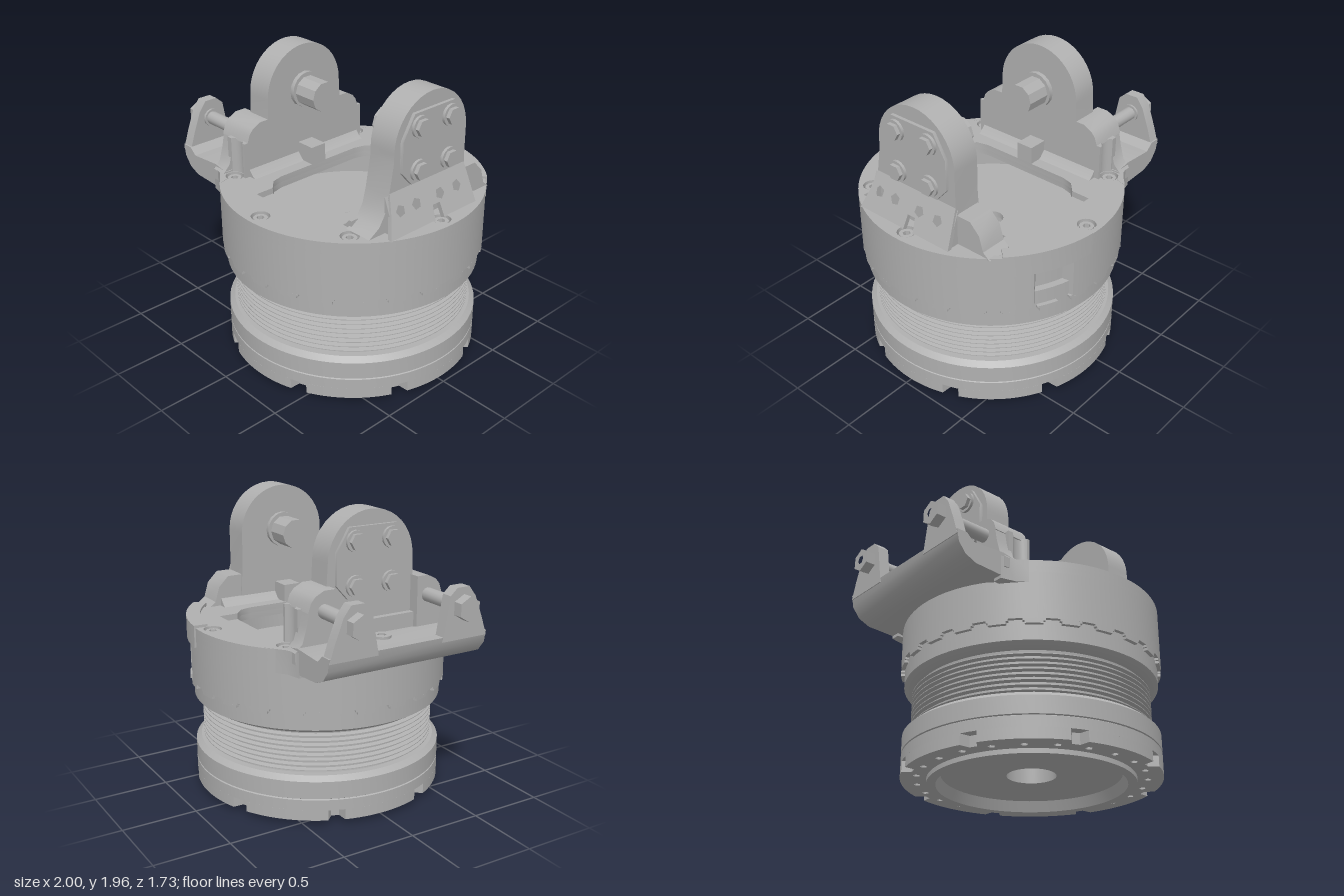
import * as THREE from 'three';
import { toCreasedNormals } from 'three/addons/utils/BufferGeometryUtils.js';

const steel = new THREE.MeshStandardMaterial({ color: 0xb0b0b0 });
steel.name = 'steel grey';

const CX = 0.14; // axis of the round body
const V = (a) => a.map(([x, y]) => new THREE.Vector2(x, y));

function add(parent, name, geo, x = 0, y = 0, z = 0) {
  const m = new THREE.Mesh(toCreasedNormals(geo, 0.6), steel);
  m.name = name;
  m.position.set(x, y, z);
  parent.add(m);
  return m;
}

// Regular polygon outline, radius may depend on the angle
function ngon(n, r, cx = 0, cy = 0, turn = 0) {
  const pts = [];
  for (let i = 0; i < n; i++) {
    const a = turn + (i / n) * Math.PI * 2;
    const q = typeof r === 'function' ? r(a) : r;
    pts.push([cx + q * Math.cos(a), cy + q * Math.sin(a)]);
  }
  return pts;
}

function outline(pts, holes = []) {
  const s = new THREE.Shape(V(pts));
  holes.forEach((h) => s.holes.push(new THREE.Path(V(h))));
  return s;
}

const extrude = (shape, depth) => new THREE.ExtrudeGeometry(shape, { depth, bevelEnabled: false });

// Plan outline [x, -z] raised from y0 to y1
const plan = (pts, y0, y1, holes) =>
  extrude(outline(pts, holes), y1 - y0).rotateX(-Math.PI / 2).translate(0, y0, 0);

// Side outline [z, y] swept from x0 to x1
const flip = (pts) => pts.map(([z, y]) => [-z, y]);
const side = (pts, x0, x1, holes = []) =>
  extrude(outline(flip(pts), holes.map(flip)), x1 - x0).rotateY(Math.PI / 2).translate(x0, 0, 0);

// Front outline [x, y] swept from z0 to z1
const front = (pts, z0, z1) => extrude(outline(pts), z1 - z0).translate(0, 0, z0);

// Cylinder along x
const rod = (r, x0, x1, n) =>
  new THREE.CylinderGeometry(r, r, x1 - x0, n).rotateZ(Math.PI / 2).translate((x0 + x1) / 2, 0, 0);

// Points on an arc, angles in radians
const arc = (r, a0, a1, n, cx = 0, cy = 0) => Array.from({ length: n + 1 }, (_, i) => {
  const a = a0 + ((a1 - a0) * i) / n;
  return [cx + r * Math.cos(a), cy + r * Math.sin(a)];
});
const sector = (r0, r1, a0, a1, n) => [...arc(r1, a0, a1, n), ...arc(r0, a1, a0, n)];

function buildBody(group) {
  const body = new THREE.Group();
  body.name = 'body';
  body.position.x = CX;
  group.add(body);

  // Base, finned bellows, upper ring and inner floor in one turned profile
  const profile = [[0.075, 0.88], [0.075, 0.84], [0.16, 0.84], [0.16, 0.08], [0.58, 0.08], [0.61, 0.01],
    [0.67, 0.01], [0.67, 0.11], [0.835, 0.11], [0.835, 0.18], [0.826, 0.185], [0.835, 0.19],
    [0.835, 0.305], [0.8, 0.335], [0.755, 0.335]];
  for (let i = 0; i < 8; i++) {
    const y = 0.35 + i * 0.033;
    profile.push([0.752, y], [0.782, y + 0.006], [0.782, y + 0.011], [0.752, y + 0.018]);
  }
  profile.push([0.755, 0.62], [0.79, 0.622], [0.835, 0.65], [0.835, 0.88], [0.075, 0.88]);
  add(body, 'turnedBody', new THREE.LatheGeometry(V(profile), 80));

  // Notched foot ring with bolt holes
  const notch = (a) => {
    const d = Math.abs(((a / (Math.PI / 4)) % 1) - 0.5);
    return d < 0.07 ? 0.77 : 0.835;
  };
  const drill = [ngon(72, 0.67), ...ngon(24, 0.735).map(([x, y]) => ngon(5, 0.024, x, y))];
  add(body, 'footRing', plan(ngon(192, notch), 0.04, 0.111, drill));

  // Collar wall with a pocket at the back and teeth along its lower edge
  const rim = ngon(160, (a) => (a > 1.03 && a < 1.3 ? 0.79 : 0.86));
  add(body, 'collarWall', plan(rim, 0.78, 1.09, [ngon(72, 0.7)]));
  for (let i = 0; i < 24; i++) {
    const a = (i / 24) * Math.PI * 2;
    add(body, 'collarTooth', plan(sector(0.83, 0.86, a, a + 0.16, 4), 0.765, 0.781));
    add(body, 'collarToothTip', plan(sector(0.83, 0.86, a + 0.015, a + 0.145, 4), 0.748, 0.766));
  }

  // Thin collar deck: chamfered opening, shallow end pockets, sunk screws
  const half = [[0.33, -0.33], [0.33, 0.33], [0.31, 0.41], [0.24, 0.475]];
  const tail = [[-0.24, 0.475], [-0.31, 0.41]];
  const turnHalf = (pts) => [...pts, ...pts.map(([x, y]) => [-x, -y])];
  const opening = turnHalf([...half, ...tail]);
  const stepped = turnHalf([...half, [0.24, 0.605], [-0.24, 0.605], ...tail]);
  add(body, 'deckLower', plan(rim, 1.09, 1.13, [opening]));
  const screws = ngon(8, 0.77);
  add(body, 'deckUpper', plan(rim, 1.13, 1.17, [stepped, ...screws.map(([x, y]) => ngon(16, 0.06, x, y))]));
  for (const [x, y] of screws) {
    add(body, 'deckScrew', plan(ngon(12, 0.046, x, y), 1.12, 1.16, [ngon(6, 0.025, x, y)]));
  }

  // Curved guard plate over the pocket
  add(body, 'guardPlate', plan(sector(0.78, 0.872, 0.8, 1.49, 12), 1.04, 1.187));
}

// Hex bolt with washer and socket, pointing along +x
function hexBolt(parent, x, y, z, dir) {
  const g = new THREE.Group();
  g.name = 'coverBolt';
  add(g, 'washer', rod(0.068, 0, 0.02, 16));
  add(g, 'boltHead', side(ngon(6, 0.054), 0.02, 0.045, [ngon(6, 0.028)]));
  g.position.set(x, y, z);
  if (dir < 0) g.rotation.y = Math.PI;
  parent.add(g);
}

function buildYoke(group, dir, name, x0, x1, foot) {
  const yoke = new THREE.Group();
  yoke.name = name;
  group.add(yoke);
  add(yoke, 'yokeArm', side([...foot, ...arc(0.31, Math.PI, 0, 20, 0, 1.655)], x0, x1));
  const outer = dir > 0 ? x1 : x0, inner = dir > 0 ? x0 : x1;
  const span = (a, b) => [Math.min(a, b), Math.max(a, b)];

  // Cover plate with small holes and four bolts
  const plate = [[0.18, 1.43], [0.26, 1.52], [0.26, 1.72], [0.17, 1.87], [-0.17, 1.87], [-0.26, 1.72],
    [-0.26, 1.52], [-0.18, 1.43]];
  const holes = [-0.19, 0, 0.19].map((z) => ngon(3, 0.026, z, 1.65));
  add(yoke, 'coverPlate', side(plate, ...span(outer, outer + dir * 0.022), holes));
  for (const z of [-0.13, 0.13]) for (const y of [1.51, 1.785]) hexBolt(yoke, outer + dir * 0.02, y, z, dir);

  // Pivot pin, its flange and the stop block below
  add(yoke, 'pinFlange', rod(0.12, ...span(inner, inner - dir * 0.03), 16), 0, 1.66, 0);
  add(yoke, 'pivotPin', rod(0.1, ...span(inner, inner - dir * 0.2), 10), 0, 1.655, 0);
  const [s0, s1] = span(inner + dir * 0.02, inner - dir * 0.135);
  add(yoke, 'stopBlock', new THREE.BoxGeometry(s1 - s0, 0.13, 0.12), (s0 + s1) / 2, 1.225, 0);

  // Low fillet along the inner foot
  const f = [[inner + dir * 0.02, 1.16], [inner - dir * 0.07, 1.16], [inner - dir * 0.035, 1.18], [inner, 1.22],
    [inner + dir * 0.02, 1.22]];
  add(yoke, 'footFillet', front(f, -0.48, 0.48));
  return yoke;
}

function buildRightSide(group) {
  const yoke = buildYoke(group, 1, 'leftYoke', 0.61, 0.8,
    [[0.31, 1.6], [0.345, 1.4], [0.37, 1.3], [0.42, 1.22], [0.5, 1.17], [0.5, 1.15], [-0.33, 1.15], [-0.31, 1.45]]);
  // Sloped outer flange, hollow behind, with a row of holes and a screw slot
  const holes = [-0.2, -0.05, 0.155, 0.29].map((z) => ngon(5, 0.038, z, 0.15, z * 9));
  const skin = [[0.42, 0], [0.37, 0.14], [0.34, 0.27], [-0.31, 0.27], [-0.33, 0], [-0.04, 0], [-0.03, 0.1],
    [0.03, 0.1], [0.04, 0]];
  const flange = add(yoke, 'flangeSkin', side(skin, -0.03, 0, holes), 0.9, 1.165, 0);
  flange.rotation.z = 0.38;
  const end = [[0.79, 1.16], [0.885, 1.16], [0.79, 1.4]];
  add(yoke, 'flangeEnd', front(end, -0.32, -0.28));
  add(yoke, 'flangeEnd', front(end, 0.33, 0.37));
  // Rear shoulder block
  add(group, 'rearShoulder', side([[-0.3, 1.16], [-0.57, 1.16], [-0.52, 1.2], [-0.49, 1.3], [-0.42, 1.37],
    [-0.3, 1.37]], 0.62, 0.8));
}

function buildLeftSide(group) {
  buildYoke(group, -1, 'rightYoke', -0.505, -0.325,
    [[0.31, 1.6], [0.33, 1.3], [0.36, 1.15], [-0.36, 1.15], [-0.33, 1.3]]);

  // Cantilever bracket
  const bracket = new THREE.Group();
  bracket.name = 'sideBracket';
  group.add(bracket);
  add(bracket, 'bracketFloor', front([[-0.47, 1.01], [-0.47, 1.18], [-0.58, 1.2], [-0.81, 1.185],
    [-0.86, 1.23], [-0.935, 1.23], [-0.92, 1.15], [-0.87, 1.085], [-0.79, 1.05], [-0.6, 1.04]], -0.565, 0.565));
  add(bracket, 'floorScrew', plan(ngon(16, 0.06, -0.63, 0), 1.17, 1.21, [ngon(6, 0.03, -0.63, 0)]));

  for (const s of [-1, 1]) {
    const m = (pts) => pts.map(([z, y]) => [z * s, y]);
    add(bracket, 'bracketUpright', side(m([[0.23, 1.2], [0.565, 1.2], [0.525, 1.32], [0.47, 1.46], [0.42, 1.525],
      [0.33, 1.525], [0.28, 1.48]]), -0.935, -0.86));
    // Clamp bolt: rod, nut and head
    const z = s * 0.38;
    add(bracket, 'clampRod', rod(0.045, -0.95, -0.55, 12), 0, 1.4, z);
    add(bracket, 'clampCollar', rod(0.06, -0.87, -0.845, 12), 0, 1.4, z);
    add(bracket, 'clampHead', side(ngon(6, 0.08, 0, 1.4, 0.5), -1, -0.935, [ngon(6, 0.03, 0, 1.4)]), 0, 0, z);
    // Boss receiving the rod: sloped wing, rounded crown, and a body scooped out around the deck screw
    add(bracket, 'bossWing', side(m([[0.3, 1.1], [0.58, 1.1], [0.58, 1.17], [0.53, 1.22], [0.5, 1.32], [0.48, 1.42],
      [0.3, 1.42]]), -0.58, -0.475));
    add(bracket, 'bossCrown', side(m([[0.3, 1.4], [0.49, 1.4], [0.47, 1.46], [0.44, 1.495], [0.38, 1.525],
      [0.3, 1.525]]), -0.58, -0.325));
    const scoop = arc(0.065, Math.PI * 1.15, Math.PI * 1.85, 10, -0.404, 0.545).map(([x, q]) => [x, q * s]);
    add(bracket, 'bossBody', plan([[-0.5, 0.3 * s], [-0.5, 0.515 * s], ...scoop, [-0.325, 0.515 * s],
      [-0.325, 0.3 * s]], 1.15, 1.41));
    // Blend between bracket and collar, clear of the deck screw
    const web = [[-0.6, 0.565], [-0.5, 0.59], [-0.38, 0.68], [-0.4, 0.61], [-0.47, 0.58], [-0.48, 0.5], [-0.6, 0.5]];
    add(bracket, 'bracketWeb', plan(m(web.map(([x, q]) => [q, x])).map(([q, x]) => [x, q]), 1.02, 1.172));
  }
  // Saddle between the bosses
  add(bracket, 'bossSaddle', new THREE.BoxGeometry(0.05, 0.12, 0.62), -0.52, 1.23, 0);
}

export function createModel() {
  const group = new THREE.Group();
  group.name = 'swivelYokeMount';
  buildBody(group);
  buildRightSide(group);
  buildLeftSide(group);
  return group;
}
